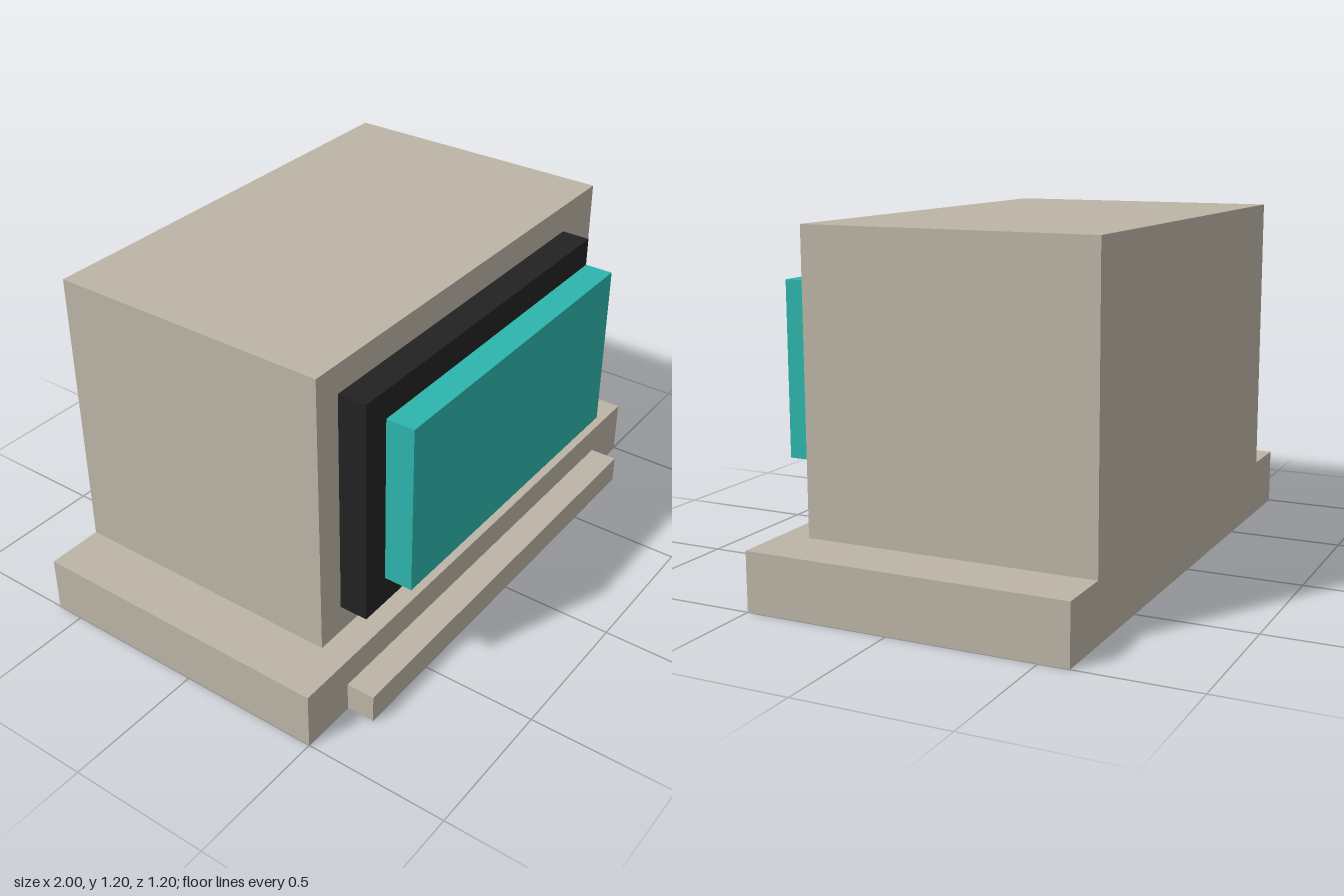
import * as THREE from 'three';

const material = (name, color) => {
  const m = new THREE.MeshStandardMaterial({ color, side: THREE.DoubleSide });
  m.name = name;
  return m;
};

// Box between two corners; an open box has no underside
function block(name, mat, [x0, y0, z0], [x1, y1, z1], open = false) {
  const geometry = new THREE.BoxGeometry(x1 - x0, y1 - y0, z1 - z0);
  if (open) {
    const index = Array.from(geometry.index.array);
    index.splice(18, 6);
    geometry.setIndex(index);
    geometry.clearGroups();
  }
  const mesh = new THREE.Mesh(geometry, mat);
  mesh.position.set((x0 + x1) / 2, (y0 + y1) / 2, (z0 + z1) / 2);
  mesh.name = name;
  return mesh;
}

export function createModel() {
  const beige = material('beige casing', 0xbbb4a6);
  const black = material('black bezel', 0x222222);
  const teal = material('teal glass', 0x2cb5ac);

  const model = new THREE.Group();
  model.name = 'desktopComputer';
  model.add(
    // Hollow casing shells
    block('base', beige, [-1, 0, -0.6], [1, 0.2, 0.5], true),
    block('frontLedge', beige, [-0.8, 0, 0.5], [0.8, 0.1, 0.6], true),
    block('monitorCase', beige, [-0.8, 0.2, -0.6], [0.8, 1.2, 0.4], true),
    // Display, flush on its left edge
    block('bezel', black, [-0.7, 0.3, 0.4], [0.6, 1.1, 0.5]),
    block('screen', teal, [-0.6, 0.4, 0.5], [0.6, 1, 0.6])
  );
  return model;
}
